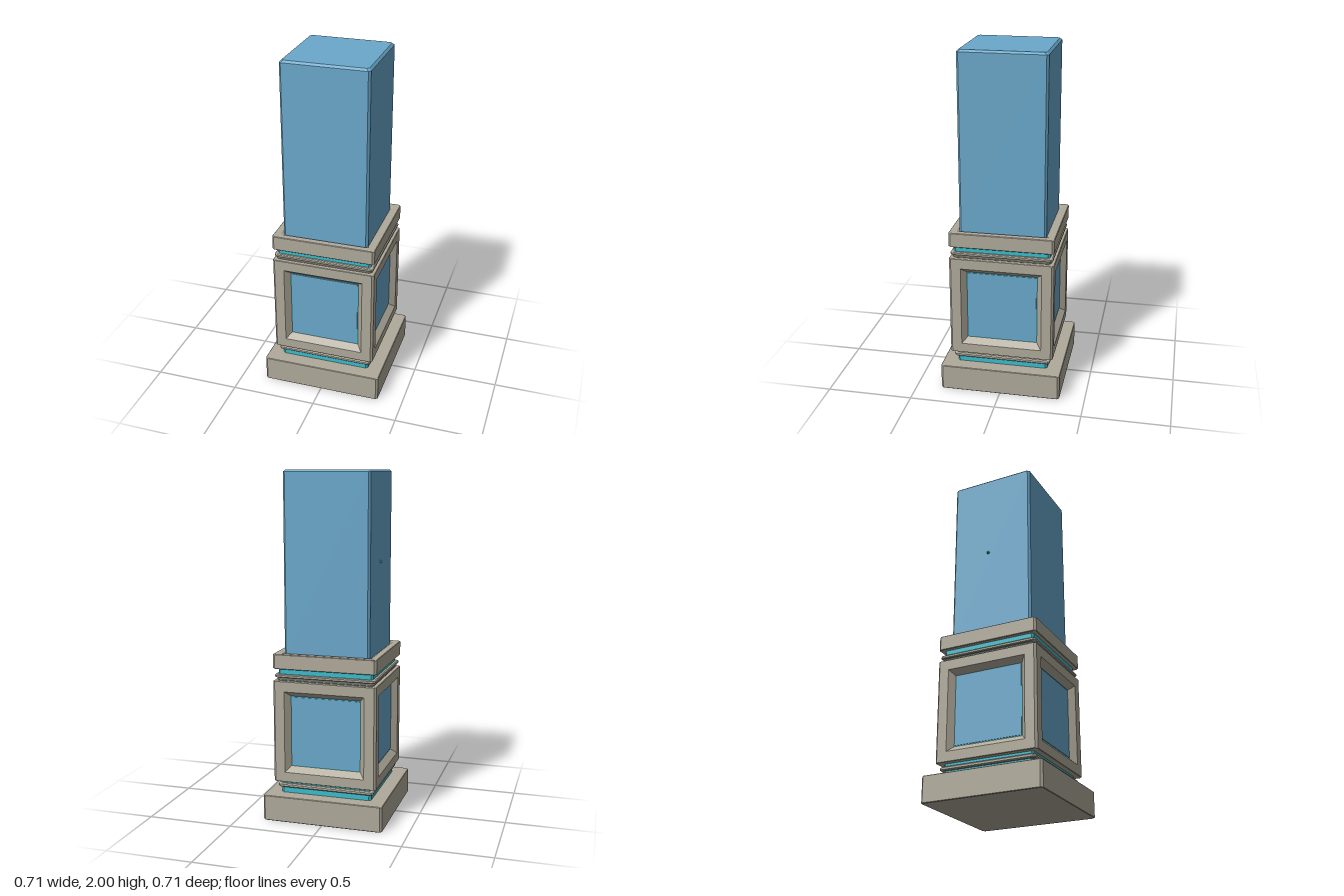
import * as THREE from 'three';

const paint = (color) => new THREE.MeshStandardMaterial({ color, flatShading: true });

// Skin a stack of equally sized point loops, closing the ends on request
function loft(loops, capStart, capEnd) {
  const n = loops[0].length, pos = [], index = [];
  loops.forEach((loop) => loop.forEach((p) => pos.push(...p)));
  for (let r = 0; r < loops.length - 1; r++) {
    for (let i = 0; i < n; i++) {
      const a = r * n + i, b = r * n + (i + 1) % n;
      index.push(a, b, b + n, a, b + n, a + n);
    }
  }
  const last = (loops.length - 1) * n;
  for (let i = 1; i < n - 1; i++) {
    if (capStart) index.push(0, i + 1, i);
    if (capEnd) index.push(last, last + i, last + i + 1);
  }
  const g = new THREE.BufferGeometry();
  g.setAttribute('position', new THREE.Float32BufferAttribute(pos, 3));
  g.setIndex(index);
  const flat = g.toNonIndexed();
  flat.computeVertexNormals();
  return flat;
}

// Square with cut corners, in the ground plane
function square(y, h, c) {
  const k = h - c;
  return [[h, y, k], [h, y, -k], [k, y, -h], [-k, y, -h],
    [-h, y, -k], [-h, y, k], [-k, y, h], [k, y, h]];
}

// Upright rectangle facing +z
const rect = (w, y0, y1, z) => [[-w, y0, z], [w, y0, z], [w, y1, z], [-w, y1, z]];

export function createModel() {
  const model = new THREE.Group();
  model.name = 'pedestalPillar';
  const stone = paint(0xb0aa9b), blue = paint(0x6aa8cb), cyan = paint(0x3bbccb);

  const add = (name, geometry, material, parent = model) => {
    const mesh = new THREE.Mesh(geometry, material);
    mesh.name = name;
    parent.add(mesh);
    return mesh;
  };
  // Block with bevelled upright and level edges
  const slab = (name, y0, y1, h, c, material, e = c / 2) => add(name, loft([
    square(y0, h - e, c), square(y0 + e, h, c),
    square(y1 - e, h, c), square(y1, h - e, c),
  ], true, true), material);

  // Plinth, lower glowing neck and its moulding
  slab('plinth', 0, 0.15, 0.353, 0.012, stone, 0.003);
  slab('lowerNeck', 0.14, 0.235, 0.268, 0.012, cyan);
  slab('lowerRing', 0.185, 0.208, 0.285, 0.012, stone);

  // Pedestal ends, closing the four framed sides
  slab('pedestalBottom', 0.225, 0.27, 0.302, 0.012, stone, 0.002);
  slab('pedestalTop', 0.775, 0.82, 0.302, 0.012, stone, 0.002);

  // Four framed sides with sunken panels
  for (let i = 0; i < 4; i++) {
    const side = new THREE.Group();
    side.name = 'pedestalSide' + (i + 1);
    side.rotation.y = i * Math.PI / 2;
    add('frame', loft([
      rect(0.297, 0.225, 0.82, 0.297),
      rect(0.291, 0.227, 0.818, 0.303),
      rect(0.235, 0.283, 0.76, 0.303),
      rect(0.205, 0.315, 0.73, 0.268),
    ]), stone, side);
    add('panelGlow', loft([rect(0.207, 0.313, 0.732, 0.25), rect(0.207, 0.313, 0.732, 0.266)], false, true), cyan, side);
    add('panel', loft([rect(0.2, 0.32, 0.725, 0.26), rect(0.2, 0.32, 0.725, 0.27)], false, true), blue, side);
    model.add(side);
  }

  // Upper glowing neck and mouldings
  slab('upperNeck', 0.81, 0.9, 0.278, 0.012, cyan);
  slab('upperRingLow', 0.822, 0.834, 0.285, 0.012, stone, 0.003);
  slab('upperRing', 0.838, 0.858, 0.295, 0.012, stone, 0.005);

  // Cap with a shallow dip around the shaft
  add('cap', loft([
    square(0.89, 0.3, 0.012), square(0.893, 0.303, 0.012),
    square(0.972, 0.303, 0.012), square(0.975, 0.3, 0.012),
    square(0.975, 0.265, 0.012), square(0.965, 0.25, 0.012),
  ], true, true), stone);

  // Shaft
  slab('shaft', 0.95, 2, 0.25, 0.012, blue, 0.012);

  // Tiny stud on the shaft's right side
  const stud = add('stud', new THREE.ConeGeometry(0.013, 0.018, 5), cyan);
  stud.rotation.z = Math.PI / 2;
  stud.position.set(-0.256, 1.487, -0.02);

  return model;
}
